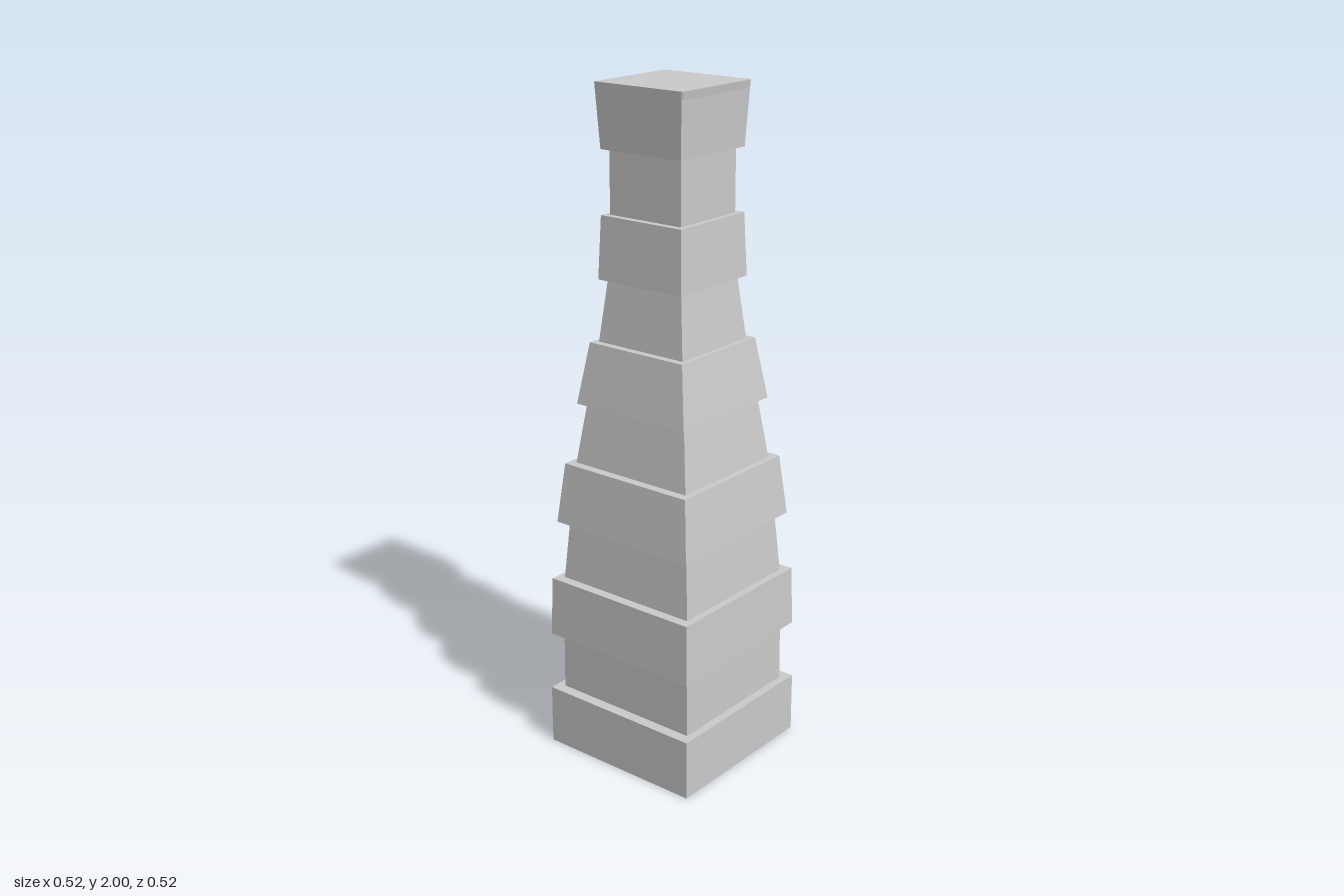
import * as THREE from 'three';

const material = new THREE.MeshStandardMaterial({ color: 0xcccccc, flatShading: true });

// Square shaft standing on y0, whose half-width follows a list of evenly spaced
// half-widths from bottom to top; depth is the ratio of z to x.
function taperedBlock(name, y0, y1, halfWidths, depth) {
  const steps = halfWidths.length - 1;
  const geometry = new THREE.BoxGeometry(2, 1, 2, 1, steps, 1);
  const pos = geometry.attributes.position;
  for (let i = 0; i < pos.count; i++) {
    const t = pos.getY(i) + 0.5;
    const half = halfWidths[Math.round(t * steps)];
    pos.setXYZ(i, pos.getX(i) * half, y0 + t * (y1 - y0), pos.getZ(i) * half * depth);
  }
  geometry.computeVertexNormals();
  const mesh = new THREE.Mesh(geometry, material);
  mesh.name = name;
  return mesh;
}

export function createModel() {
  const group = new THREE.Group();
  group.name = 'pillar';
  const levels = 11;
  const step = 2 / levels;

  // Inner shaft, slightly narrower in depth, flaring at the very top
  const shaft = [0.237, 0.237, 0.236, 0.232, 0.218, 0.202, 0.177, 0.151, 0.131, 0.125, 0.125, 0.152];
  group.add(taperedBlock('shaft', 0.001, 1.999, shaft, 0.96));

  // Raised bands on every other level: [bottom, top] half-widths
  const bands = [
    [0.262, 0.262],
    [0.259, 0.254],
    [0.241, 0.222],
    [0.195, 0.167],
    [0.148, 0.141],
    [0.14, 0.15],
  ];
  bands.forEach((widths, i) => {
    const y0 = i * 2 * step;
    const name = i === 0 ? 'base' : i === bands.length - 1 ? 'capital' : `band${i}`;
    group.add(taperedBlock(name, y0, y0 + step, widths, 0.995));
  });

  return group;
}
